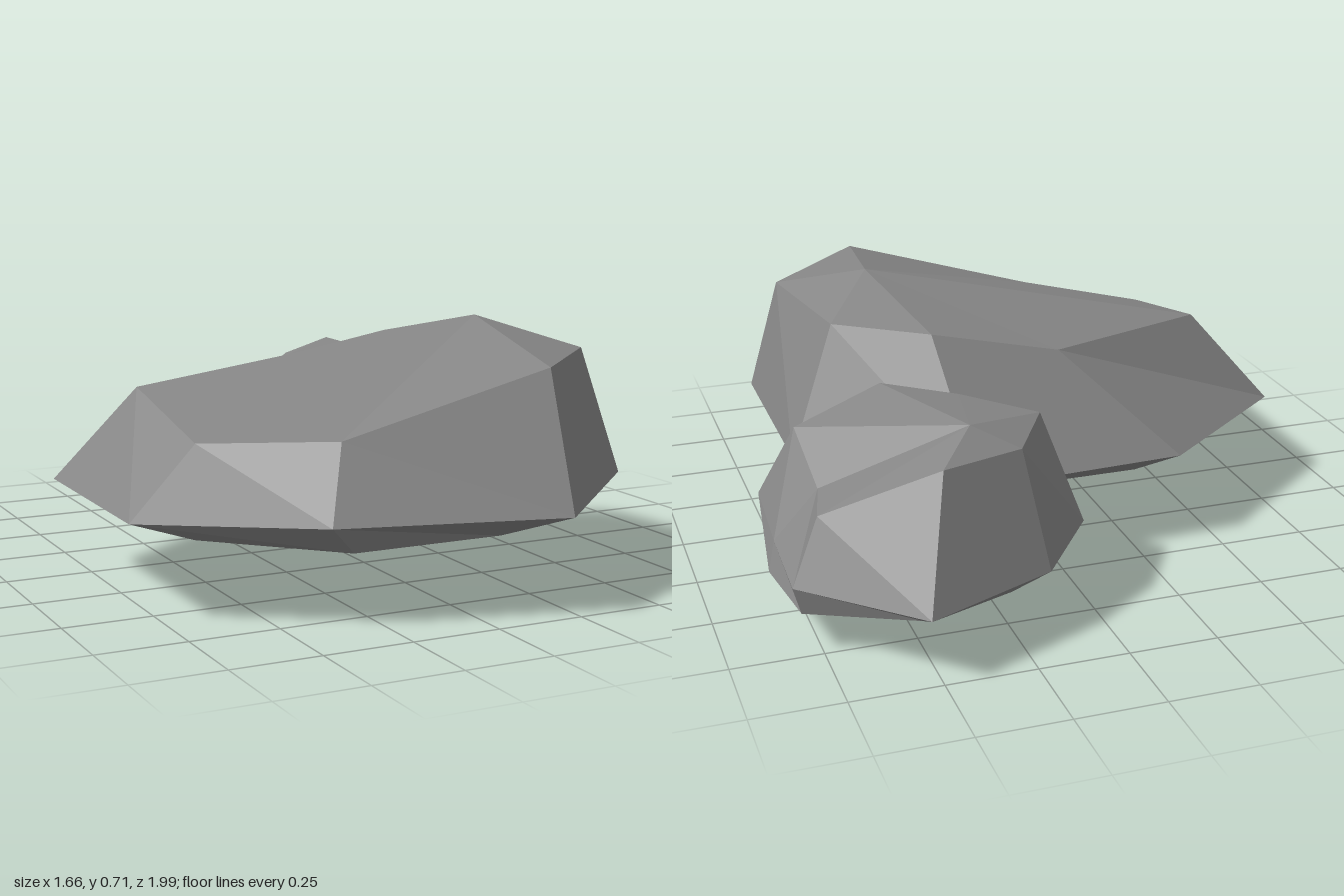
import * as THREE from 'three';

const SIDES = 8;

// Regular octagon used for the undercut just above a rock's lowest point
function octagon(cx, cz, radius, y, startDeg) {
  return Array.from({ length: SIDES }, (_, i) => {
    const a = THREE.MathUtils.degToRad(startDeg + i * 45);
    return [cx + radius * Math.cos(a), y, cz + radius * Math.sin(a)];
  });
}

// Faceted boulder: bottom point, three rings running from +x towards +z, top point
function rock(name, bottom, rings, top, material) {
  const levels = [Array(SIDES).fill(bottom), ...rings, Array(SIDES).fill(top)];
  const last = levels.length - 2;
  const positions = [];
  for (let k = 0; k <= last; k++) {
    const lower = levels[k], upper = levels[k + 1];
    for (let i = 0; i < SIDES; i++) {
      const j = (i + 1) % SIDES;
      if (k < last) positions.push(...lower[i], ...upper[i], ...upper[j]);
      if (k > 0) positions.push(...lower[i], ...upper[j], ...lower[j]);
    }
  }
  const geometry = new THREE.BufferGeometry();
  geometry.setAttribute('position', new THREE.Float32BufferAttribute(positions, 3));
  geometry.computeVertexNormals(); // unshared corners give flat facets
  const mesh = new THREE.Mesh(geometry, material);
  mesh.name = name;
  return mesh;
}

export function createModel() {
  const stone = new THREE.MeshStandardMaterial({ color: 0x868686, flatShading: true });
  stone.name = 'stone grey';
  const group = new THREE.Group();
  group.name = 'rocks';

  // Large boulder: wide rim, then the sloping shoulder
  const largeRim = [
    [0.68, 0.55], [0.23, 0.99], [-0.39, 0.83], [-0.83, 0.55],
    [-0.83, -0.08], [-0.39, -0.42], [0.23, -0.45], [0.68, -0.08],
  ].map(([x, z]) => [x, 0.265, z]);
  const largeShoulder = [
    [0.60, 0.625, 0.46], [0.29, 0.625, 0.77], [-0.30, 0.46, 0.70], [-0.61, 0.44, 0.46],
    [-0.61, 0.53, 0.02], [-0.09, 0.55, -0.20], [0.28, 0.625, -0.16], [0.53, 0.625, 0.02],
  ];
  group.add(rock('largeRock', [-0.08, 0.055, 0.24],
    [octagon(-0.08, 0.24, 0.577, 0.18, 22.5), largeRim, largeShoulder],
    [0.37, 0.71, 0.24], stone));

  // Small boulder leaning against the back
  const smallBase = octagon(0.475, -0.5, 0.36, 0.11, 6);
  smallBase[7] = [0.80, 0.11, -0.72];
  const smallRim = [
    [0.81, -0.43], [0.79, -0.11], [0.42, 0.00], [0.08, -0.18],
    [-0.03, -0.58], [0.16, -0.84], [0.53, -1.00], [0.82, -0.72],
  ].map(([x, z]) => [x, 0.185, z]);
  const smallShoulder = [
    [0.69, 0.335, -0.46], [0.70, 0.42, -0.22], [0.44, 0.505, -0.18], [0.25, 0.50, -0.32],
    [0.08, 0.50, -0.52], [0.20, 0.49, -0.72], [0.44, 0.50, -0.81], [0.74, 0.36, -0.68],
  ];
  group.add(rock('smallRock', [0.475, 0, -0.5],
    [smallBase, smallRim, smallShoulder],
    [0.32, 0.545, -0.65], stone));

  return group;
}
